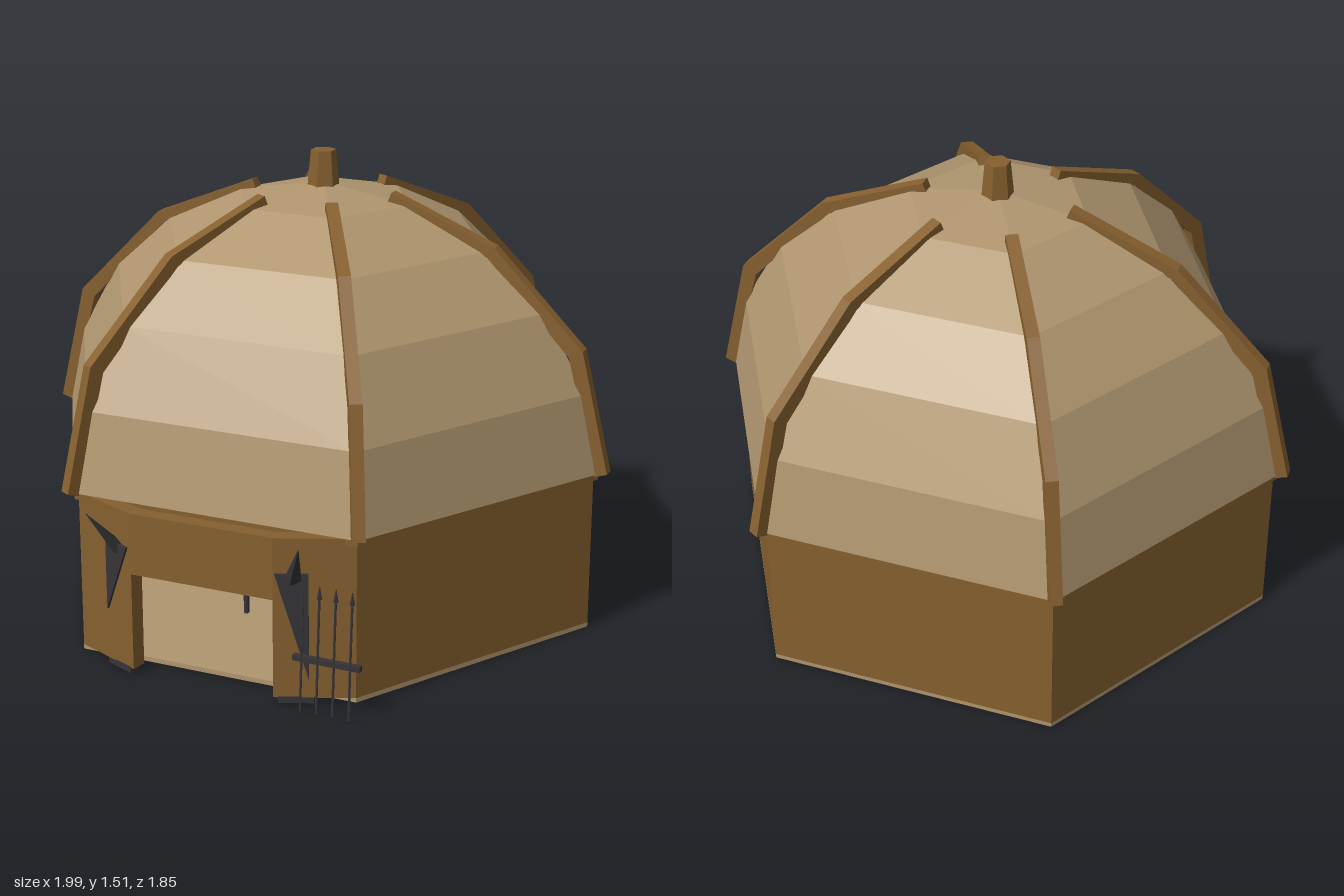
import * as THREE from 'three';

const mat = (name, color) =>
  new THREE.MeshStandardMaterial({ name, color, flatShading: true, side: THREE.DoubleSide });
const hide = mat('tan hide', 0xb0966f);
const wood = mat('brown wood', 0x86602f);
const iron = mat('dark iron', 0x363437);

const CZ = -0.055; // centre of the hexagonal body
const V = (x, y, z) => new THREE.Vector3(x, y, z);

export function createModel() {
  const root = new THREE.Group();
  root.name = 'hut';

  const add = (name, geo, material, x = 0, y = 0, z = 0, parent = root) => {
    const m = new THREE.Mesh(geo, material);
    m.name = name;
    m.position.set(x, y, z);
    parent.add(m);
    return m;
  };
  const box = (name, w, h, d, material, x, y, z, parent) =>
    add(name, new THREE.BoxGeometry(w, h, d), material, x, y, z, parent);

  // Hexagon corners as [x, z], beginning at the front right of the plan
  const hex = (r) => Array.from({ length: 6 }, (_, i) => {
    const a = Math.PI / 3 * (1 - i);
    return [r * Math.cos(a), CZ + r * Math.sin(a)];
  });
  // Extrude a plan outline upwards from y0 to y1
  const prism = (plan, y0, y1, hole) => {
    const pts = (p) => p.map(([x, z]) => new THREE.Vector2(x, -z));
    const s = new THREE.Shape(pts(plan));
    if (hole) s.holes.push(new THREE.Path(pts(hole)));
    return new THREE.ExtrudeGeometry(s, { depth: y1 - y0, bevelEnabled: false })
      .rotateX(-Math.PI / 2).translate(0, y0, 0);
  };
  // Thin rod between two points
  const rod = (name, a, b, r0, r1, sides, parent = root) => {
    const dir = b.clone().sub(a);
    const m = add(name, new THREE.CylinderGeometry(r1, r0, dir.length(), sides), iron, 0, 0, 0, parent);
    m.position.copy(a).add(b).multiplyScalar(0.5);
    m.quaternion.setFromUnitVectors(V(0, 1, 0), dir.normalize());
    return m;
  };

  // Floor slab, walls with a projecting entrance, and eave rim
  add('floor', prism(hex(0.945), 0.005, 0.02), hide);
  const outer = [[0.24, 0.86], ...hex(0.945), [-0.24, 0.86]];
  const inner = [[0.23, 0.81], ...hex(0.9), [-0.23, 0.81]];
  add('walls', prism([...outer, ...inner.reverse()], 0.02, 0.54), wood);
  add('doorLintel', prism([[0.24, 0.86], [-0.24, 0.86], [-0.23, 0.81], [0.23, 0.81]], 0.34, 0.54), wood);
  add('eaveRim', prism(hex(0.96), 0.52, 0.542, hex(0.9)), wood);

  // Faceted dome roof
  const profile = [[0.968, 0.542], [0.91, 0.8], [0.765, 1.05], [0.565, 1.23], [0.3, 1.355], [0, 1.405]]
    .map(([r, y]) => new THREE.Vector2(r, y));
  add('roof', new THREE.LatheGeometry(profile, 6, Math.PI / 6), hide, 0, 0, CZ);

  // Bent ribs along the roof corners
  const ribShape = new THREE.Shape([
    [0.995, 0.548], [0.9, 0.945], [0.597, 1.25], [0.245, 1.393],
    [0.233, 1.362], [0.575, 1.215], [0.855, 0.92], [0.955, 0.535],
  ].map(([r, y]) => new THREE.Vector2(r, y)));
  const ribGeo = new THREE.ExtrudeGeometry(ribShape, { depth: 0.04, bevelEnabled: false }).translate(0, 0, -0.02);
  for (let i = 0; i < 6; i++) {
    add('roofRib', ribGeo, wood, 0, 0, CZ).rotation.y = i * Math.PI / 3;
  }
  add('roofPeak', new THREE.CylinderGeometry(0.041, 0.053, 0.13, 6), wood, 0, 1.445, CZ);

  // Pennants, spikes and foot plates on both slanted entrance walls
  for (const s of [-1, 1]) {
    const slope = s * Math.atan2(0.1, 0.23);
    const drop = s > 0 ? 0.085 : 0.195;
    const flag = new THREE.Shape([[-0.053, 0.43], [0.05, 0.43], [0.05, drop]]
      .map(([x, y]) => new THREE.Vector2(s * x, y)));
    const geo = new THREE.ExtrudeGeometry(flag, { depth: 0.008, bevelEnabled: false });
    add('pennant', geo, iron, s * 0.296, 0, 0.842).rotation.y = slope;
    rod('wallSpike', V(s * 0.298, 0.41, 0.835), V(s * 0.355, 0.545, 0.925), 0.027, 0.001, 4);
    box('footPlate', 0.11, 0.022, 0.03, iron, s * 0.298, 0.012, 0.82).rotation.y = slope;
  }

  // Racks of upright spears
  const spearRack = (x0, x1, z, count, lean) => {
    const g = new THREE.Group();
    g.name = 'spearRack';
    root.add(g);
    box('rackBar', x1 - x0, 0.018, 0.018, iron, (x0 + x1) / 2, 0.172, z, g);
    for (let i = 0; i < count; i++) {
      const x = x0 + 0.03 + i * 0.053;
      rod('spearShaft', V(x, 0.005, z + lean), V(x, 0.38, z - lean * 0.4), 0.004, 0.004, 5, g);
      rod('spearHead', V(x, 0.37, z - lean * 0.4), V(x, 0.41, z - lean * 0.5), 0.009, 0.001, 4, g);
    }
  };
  spearRack(0.31, 0.53, 0.865, 4, 0.018);
  spearRack(0.1, 0.32, -0.76, 4, 0.018);
  spearRack(-0.31, -0.1, -0.76, 4, 0.018);

  // Long table inside
  box('tableTop', 0.24, 0.014, 0.85, iron, 0, 0.145, -0.06);
  for (const x of [-0.105, 0.105]) {
    for (const z of [-0.45, 0.33]) box('tableLeg', 0.014, 0.12, 0.014, iron, x, 0.08, z);
  }

  // Storage rack and shelves beside the table
  box('storageRack', 0.07, 0.29, 0.07, iron, -0.185, 0.175, -0.6);
  for (const y of [0.05, 0.1, 0.22, 0.29]) box('rackSlat', 0.085, 0.012, 0.085, iron, -0.185, y, -0.6);
  for (const y of [0.09, 0.19, 0.27]) box('shelf', 0.03, 0.012, 0.07, iron, 0.212, y, -0.6);
  for (const z of [-0.63, -0.57]) box('shelfPost', 0.01, 0.3, 0.01, iron, 0.225, 0.17, z);

  return root;
}
